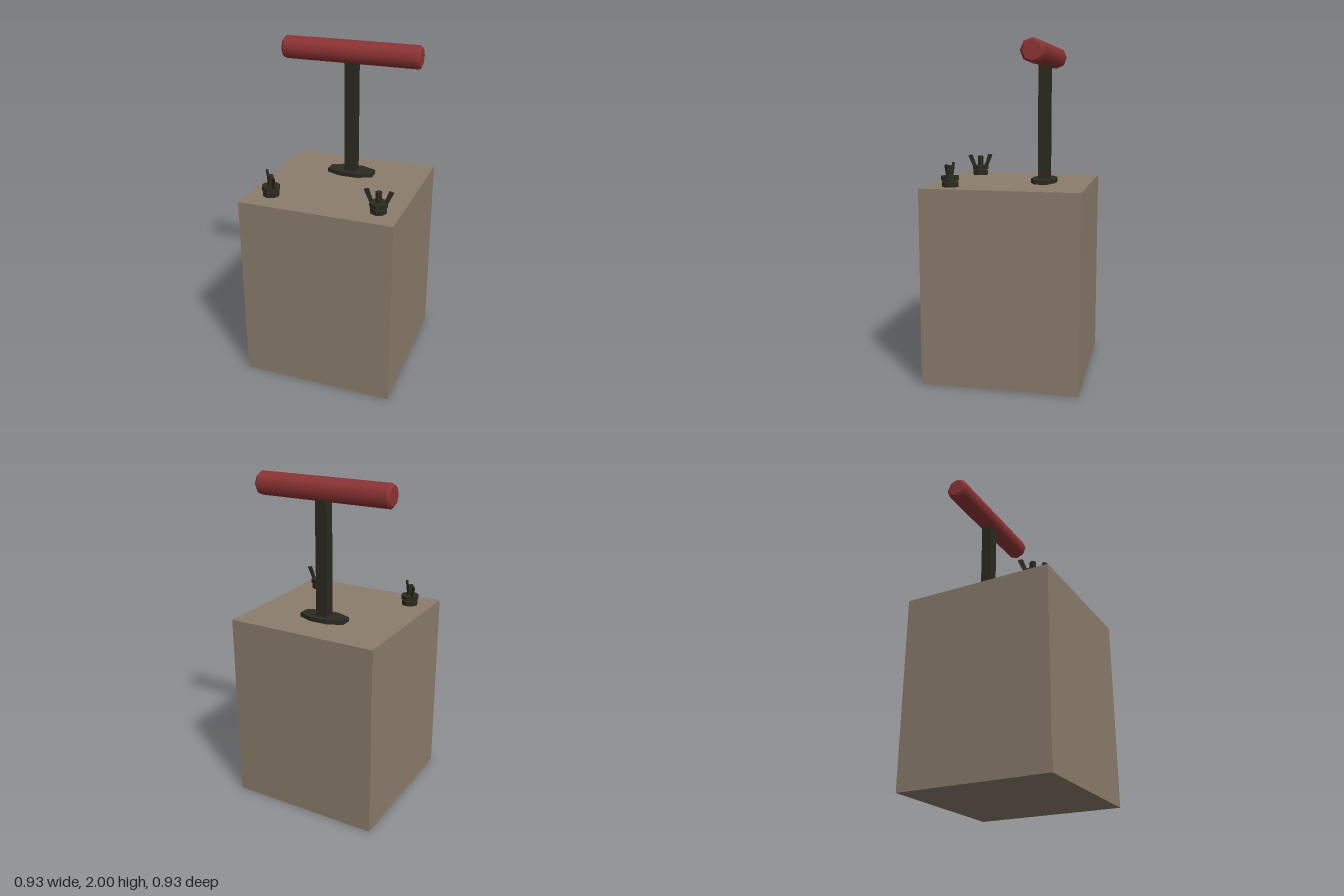
import * as THREE from 'three';

const material = (name, color, flatShading = false) => {
  const m = new THREE.MeshStandardMaterial({ color, flatShading });
  m.name = name;
  return m;
};

export function createModel() {
  const tan = material('tan casing', 0x8c7d6d);
  const dark = material('dark metal', 0x2b2b20, true);
  const red = material('red grip', 0x8f3434);

  const model = new THREE.Group();
  model.name = 'plungerBox';

  const add = (parent, name, geometry, mat, x = 0, y = 0, z = 0) => {
    const mesh = new THREE.Mesh(geometry, mat);
    mesh.name = name;
    mesh.position.set(x, y, z);
    parent.add(mesh);
    return mesh;
  };
  const extrude = (points, depth) => new THREE.ExtrudeGeometry(
    new THREE.Shape(points.map(([x, y]) => new THREE.Vector2(x, y))),
    { depth, bevelEnabled: false });

  // Casing
  const top = 1.165;
  add(model, 'casing', new THREE.BoxGeometry(0.93, top, 0.93), tan, 0, top / 2, 0);

  // Plunger: stretched octagonal collar, square shaft and crossbar grip
  const plunger = new THREE.Group();
  plunger.name = 'plunger';
  plunger.position.set(0, 0, -0.183);
  model.add(plunger);

  const collar = extrude([
    [-0.055, -0.073], [0.055, -0.073], [0.145, -0.036], [0.145, 0.036],
    [0.055, 0.073], [-0.055, 0.073], [-0.145, 0.036], [-0.145, -0.036],
  ], 0.025).rotateX(-Math.PI / 2);
  add(plunger, 'collar', collar, dark, 0, top, 0);
  add(plunger, 'shaft', new THREE.BoxGeometry(0.07, 0.74, 0.07), dark, 0, top + 0.37, 0);

  // Smooth eight-sided grip with chamfered ends
  const grip = new THREE.Group();
  grip.name = 'grip';
  grip.position.set(-0.005, 1.93, 0);
  grip.rotation.z = Math.PI / 2;
  plunger.add(grip);
  const r = 0.07, chamfer = 0.014, half = 0.427;
  add(grip, 'gripBar',
    new THREE.CylinderGeometry(r, r, 2 * (half - chamfer), 8, 1, true), red);
  for (const side of [1, -1]) {
    const end = add(grip, 'gripEnd',
      new THREE.CylinderGeometry(r - chamfer, r, chamfer, 8), red,
      0, side * (half - chamfer / 2), 0);
    if (side < 0) end.rotation.x = Math.PI;
  }

  // Wing-nut terminals
  const wing = extrude(
    [[0.03, 0.055], [0.053, 0.055], [0.088, 0.13], [0.06, 0.137]], 0.009)
    .translate(0, 0, -0.0045);
  const disc = (radius, height) => new THREE.CylinderGeometry(radius, radius, height, 8);

  const addTerminal = (name, x, z, turn) => {
    const t = new THREE.Group();
    t.name = name;
    t.position.set(x, top, z);
    t.rotation.y = turn;
    model.add(t);
    add(t, 'terminalBase', disc(0.05, 0.03), dark, 0, 0.015, 0);
    add(t, 'terminalPost', disc(0.019, 0.125), dark, 0, 0.0625, 0);
    add(t, 'wingNut', disc(0.055, 0.025), dark, 0, 0.05, 0);
    for (const a of [0, Math.PI]) add(t, 'wing', wing, dark).rotation.y = a;
  };
  addTerminal('leftTerminal', 0.335, 0.315, 0);
  addTerminal('rightTerminal', -0.328, 0.307, -0.865);

  return model;
}
